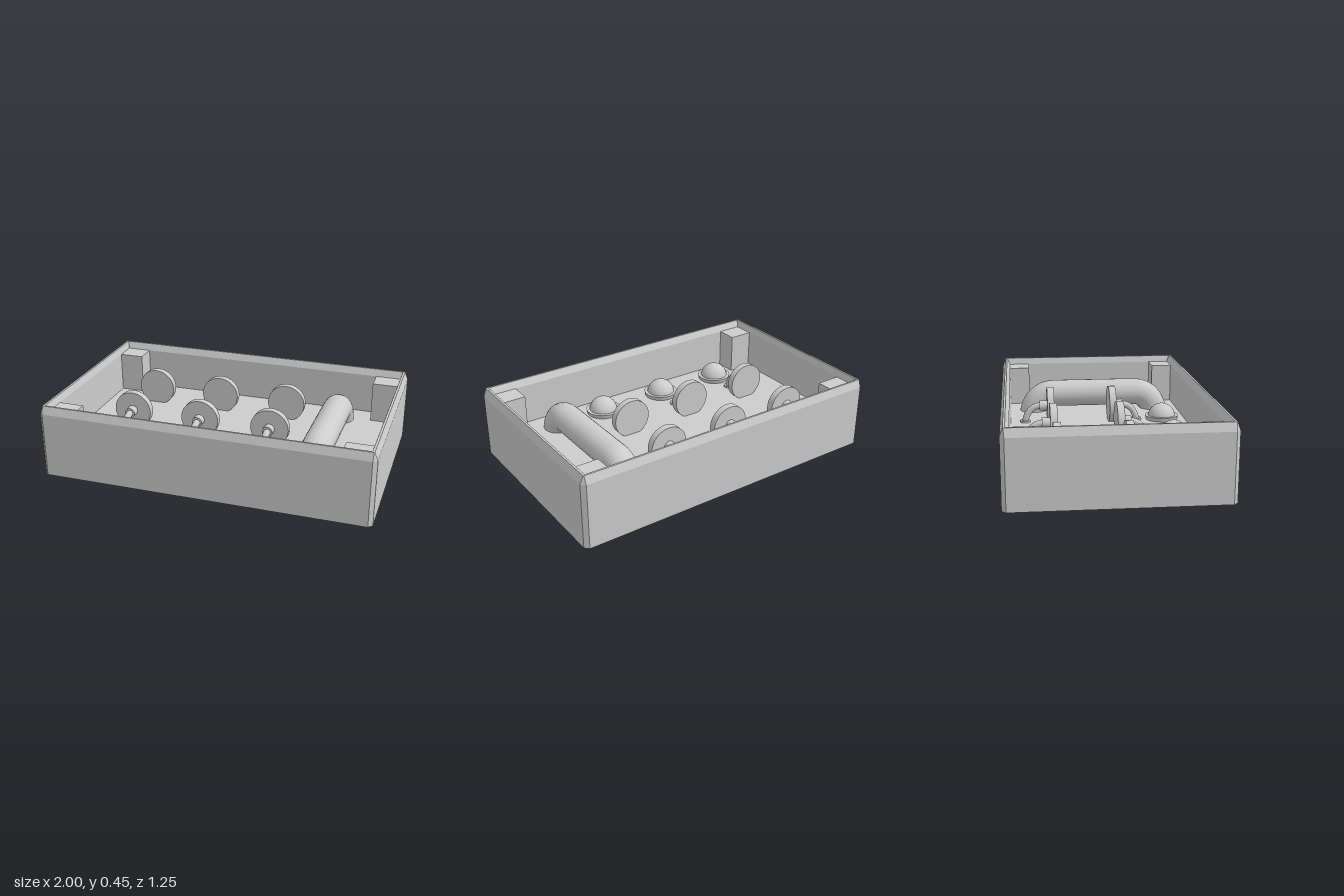
import * as THREE from 'three';

const mat = new THREE.MeshStandardMaterial({ color: 0xcccccc });
const matDouble = new THREE.MeshStandardMaterial({ color: 0xcccccc, side: THREE.DoubleSide });
const matFlat = new THREE.MeshStandardMaterial({ color: 0xcccccc, side: THREE.DoubleSide, flatShading: true });

const FLOOR_BOTTOM = 0.11, FLOOR_TOP = 0.15;
const INNER_X = 0.955, INNER_Z = 0.575; // inside faces of the walls
const POST_X = 0.145, POST_Z = 0.125;   // hollow inside a corner post
const PEG_X = [-0.63, -0.18, 0.27];

function add(parent, name, geometry, x = 0, y = 0, z = 0, material = mat) {
  const mesh = new THREE.Mesh(geometry, material);
  mesh.name = name;
  mesh.position.set(x, y, z);
  parent.add(mesh);
  return mesh;
}

// Rectangular ring with cut corners
function ring(x, z, c, y) {
  return [[x, z - c], [x - c, z], [c - x, z], [-x, z - c], [-x, c - z], [c - x, -z], [x - c, -z], [x, c - z]]
    .map(([px, pz]) => [px, y, pz]);
}

// Skin stretched over successive rings
function loft(rings) {
  const n = rings[0].length, index = [];
  for (let r = 0; r < rings.length - 1; r++) {
    for (let i = 0; i < n; i++) {
      const a = r * n + i, b = r * n + (i + 1) % n;
      index.push(a, a + n, b, b, a + n, b + n);
    }
  }
  const g = new THREE.BufferGeometry();
  g.setAttribute('position', new THREE.Float32BufferAttribute(rings.flat(2), 3));
  g.setIndex(index);
  const flat = g.toNonIndexed();
  flat.computeVertexNormals();
  return flat;
}

// Floor panel with a notch under each corner post
function floorGeometry() {
  const x = INNER_X, z = INNER_Z;
  const quarter = [[x, z - POST_Z], [x - POST_X, z - POST_Z], [x - POST_X, z]];
  const flip = (sx, sz) => quarter.map(([a, b]) => new THREE.Vector2(a * sx, b * sz));
  const shape = new THREE.Shape([
    ...flip(1, 1), ...flip(-1, 1).reverse(), ...flip(-1, -1), ...flip(1, -1).reverse(),
  ]);
  return new THREE.ExtrudeGeometry(shape, { depth: FLOOR_TOP - FLOOR_BOTTOM, bevelEnabled: false })
    .rotateX(Math.PI / 2).translate(0, FLOOR_TOP, 0);
}

// Hollow corner post: two thin sides and a cap
function cornerPost(sx, sz) {
  const g = new THREE.Group();
  g.name = 'cornerPost';
  const top = 0.405, h = top - FLOOR_BOTTOM, t = 0.01, y = FLOOR_BOTTOM + h / 2;
  const cx = sx * (INNER_X - (POST_X + t) / 2), cz = sz * (INNER_Z - (POST_Z + t) / 2);
  add(g, 'postSide', new THREE.BoxGeometry(t, h, POST_Z + t), sx * (INNER_X - POST_X - t / 2), y, cz);
  add(g, 'postFront', new THREE.BoxGeometry(POST_X + t, h, t), cx, y, sz * (INNER_Z - POST_Z - t / 2));
  add(g, 'postCap', new THREE.BoxGeometry(POST_X + t, t, POST_Z + t), cx, top - t / 2, cz);
  return g;
}

// Disc knob on a stem that curves down into the floor; disc faces -z
function knob() {
  const g = new THREE.Group();
  g.name = 'knob';
  const y = 0.257, endZ = 0.165;
  add(g, 'knobDisc', new THREE.CylinderGeometry(0.12, 0.12, 0.044, 32).rotateX(Math.PI / 2), 0, y, 0);
  add(g, 'knobCollar', new THREE.CylinderGeometry(0.033, 0.033, 0.05, 20).rotateX(Math.PI / 2), 0, y, 0.045);
  const v = (py, pz) => new THREE.Vector3(0, py, pz);
  const path = new THREE.CubicBezierCurve3(v(y, 0.06), v(y, 0.12), v(0.21, endZ), v(0.13, endZ));
  add(g, 'knobStem', new THREE.TubeGeometry(path, 20, 0.021, 14));
  add(g, 'stemSocket', new THREE.CylinderGeometry(0.033, 0.033, 0.057, 20), 0, 0.1335, endZ);
  return g;
}

// Ball resting in a round seat
function ball() {
  const g = new THREE.Group();
  g.name = 'ballAndSeat';
  add(g, 'ballSeat', new THREE.CylinderGeometry(0.11, 0.1, 0.04, 32), 0, 0.157, 0);
  const dome = new THREE.SphereGeometry(0.09, 28, 12, 0, Math.PI * 2, 0, Math.PI / 2);
  add(g, 'ball', dome, 0, 0.165, 0, matDouble);
  return g;
}

// Thick grip whose ends bend down into the floor
function gripGeometry() {
  const y = 0.265, straight = 0.28, end = 0.42, low = FLOOR_BOTTOM + 0.01, k = 0.55;
  const v = (py, pz) => new THREE.Vector3(0, py, pz);
  const bend = (s) => [v(low, s * end), v(low + (y - low) * k, s * end),
    v(y, s * (straight + (end - straight) * k)), v(y, s * straight)];
  const path = new THREE.CurvePath();
  path.add(new THREE.CubicBezierCurve3(...bend(-1)));
  path.add(new THREE.LineCurve3(v(y, -straight), v(y, straight)));
  path.add(new THREE.CubicBezierCurve3(...bend(1).reverse()));
  return new THREE.TubeGeometry(path, 48, 0.09, 20);
}

export function createModel() {
  const model = new THREE.Group();
  model.name = 'tray';

  // Walls, open underneath, with a bevelled rim
  add(model, 'walls', loft([
    ring(1, 0.624, 0.024, 0),
    ring(1, 0.624, 0.024, 0.4),
    ring(0.98, 0.606, 0.003, 0.448),
    ring(0.967, 0.595, 0.002, 0.448),
    ring(INNER_X, INNER_Z, 0.001, 0.405),
    ring(INNER_X, INNER_Z, 0.001, FLOOR_BOTTOM),
  ]), 0, 0, 0, matFlat);
  add(model, 'floor', floorGeometry());

  for (const sx of [-1, 1]) for (const sz of [-1, 1]) model.add(cornerPost(sx, sz));

  // Two facing rows of knobs, with a row of balls in front
  for (const x of PEG_X) {
    const front = knob();
    front.position.set(x, 0, 0.087);
    const back = knob();
    back.position.set(x, 0, -0.315);
    back.rotation.y = Math.PI;
    const b = ball();
    b.position.set(x, 0, 0.423);
    model.add(front, back, b);
  }

  add(model, 'grip', gripGeometry(), 0.604, 0, 0);

  return model;
}
